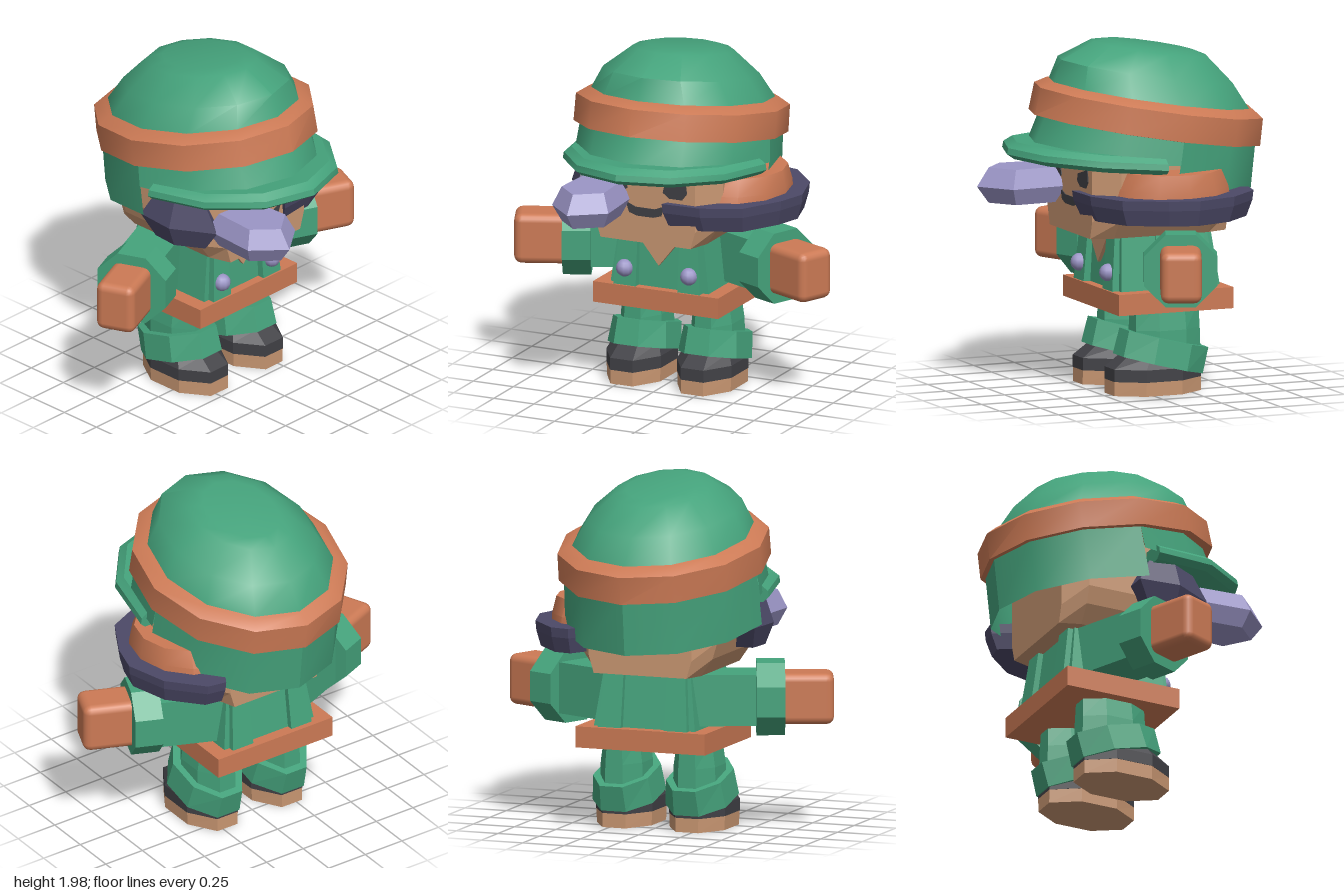
import * as THREE from 'three';
import { toCreasedNormals } from 'three/addons/utils/BufferGeometryUtils.js';
import { RoundedBoxGeometry } from 'three/addons/geometries/RoundedBoxGeometry.js';

const mat = (name, color, side = THREE.FrontSide) => {
  const m = new THREE.MeshStandardMaterial({ color, side });
  m.name = name;
  return m;
};
const V = (x, y, z) => new THREE.Vector3(x, y, z);

// Horizontal ellipse ring, running front -> +x -> back -> -x
function ring(n, rx, rz, y, cx = 0, cz = 0, turn = 0) {
  return Array.from({ length: n }, (_, i) => {
    const t = (i / n) * Math.PI * 2 + turn;
    return V(cx + rx * Math.sin(t), y, cz + rz * Math.cos(t));
  });
}
// Octagon with flat front, given its half sizes
const oct = (hx, hz, y, cx, cz) => {
  const k = 1 / Math.cos(Math.PI / 8);
  return ring(8, hx * k, hz * k, y, cx, cz, Math.PI / 8);
};
const rect = (x0, x1, z0, z1, y) => [V(x0, y, z1), V(x1, y, z1), V(x1, y, z0), V(x0, y, z0)];
const plan = (pts, y, s = 1, cx = 0, cz = 0) =>
  pts.map(([x, z]) => V(cx + (x - cx) * s, y, cz + (z - cz) * s));

// Skin stacked rings from bottom to top; faceted unless a crease angle is given
function loft(rings, { crease = 0, closed = true, caps = true } = {}) {
  const tri = [];
  const n = rings[0].length;
  for (let r = 0; r + 1 < rings.length; r++) {
    const a = rings[r], b = rings[r + 1];
    for (let i = 0; i < (closed ? n : n - 1); i++) {
      const j = (i + 1) % n;
      tri.push(a[i], a[j], b[j], a[i], b[j], b[i]);
    }
  }
  if (caps && closed) {
    const mid = (p) => p.reduce((s, v) => s.add(v), V(0, 0, 0)).divideScalar(n);
    const a = rings[0], b = rings[rings.length - 1], ca = mid(a), cb = mid(b);
    for (let i = 0; i < n; i++) {
      const j = (i + 1) % n;
      tri.push(ca, a[j], a[i], cb, b[i], b[j]);
    }
  }
  const g = new THREE.BufferGeometry().setFromPoints(tri);
  g.computeVertexNormals();
  return crease ? toCreasedNormals(g, crease) : g;
}

export function createModel() {
  const root = new THREE.Group();
  root.name = 'soldierFigure';
  const green = mat('green', 0x45a37c);
  const greenOpen = mat('green cloth', 0x45a37c, THREE.DoubleSide);
  const orange = mat('orange', 0xcc7a55);
  const tan = mat('tan', 0xc99772);
  const steel = mat('pale violet', 0x9b95c6);
  const slate = mat('dark violet', 0x4c4967);
  const black = mat('charcoal', 0x414146);
  const add = (name, geo, m, parent = root) => {
    const mesh = new THREE.Mesh(geo, m);
    mesh.name = name;
    parent.add(mesh);
    return mesh;
  };
  const plate = (pts, depth) => new THREE.ExtrudeGeometry(
    new THREE.Shape(pts.map(([x, y]) => new THREE.Vector2(x, y))), { depth, bevelEnabled: false });

  // Head, with chamfered corners and a narrowing jaw
  const headRing = (y, w, f) => plan([[-f, 0.35], [f, 0.35], [w, 0.22], [w, -0.36],
    [f, -0.48], [-f, -0.48], [-w, -0.36], [-w, 0.22]], y);
  add('head', loft([headRing(0.9, 0.32, 0.28), headRing(1.0, 0.39, 0.31),
    headRing(1.1, 0.42, 0.31), headRing(1.42, 0.42, 0.31)]), tan);

  // Face details
  const eye = [[0.11, 1.21], [0.15, 1.18], [0.23, 1.18], [0.26, 1.22], [0.25, 1.29], [0.19, 1.27], [0.12, 1.25]];
  for (const s of [1, -1]) {
    const pts = eye.map(([x, y]) => [x * s, y]);
    add(s > 0 ? 'leftEye' : 'rightEye', plate(pts, 0.006), black).position.z = 0.349;
  }
  add('moustache', plate([[-0.12, 1.13], [-0.1, 1.07], [-0.05, 1.055], [0.05, 1.055], [0.1, 1.07],
    [0.12, 1.13], [0.06, 1.105], [-0.06, 1.105]], 0.006), black).position.z = 0.349;

  // Hat crown, band and hanging skirt, all tilted backwards
  const hat = new THREE.Group();
  hat.name = 'hat';
  hat.position.set(0, 1.55, -0.1);
  hat.rotation.x = -0.17;
  root.add(hat);
  add('hatCrown', loft([
    ring(12, 0.54, 0.63, 0.0, 0, -0.02), ring(12, 0.505, 0.595, 0.1, 0, -0.02),
    ring(12, 0.42, 0.52, 0.24, 0, 0.03), ring(12, 0.27, 0.345, 0.365, 0, 0.025),
    ring(12, 0.2, 0.26, 0.385, 0, 0.025)], { crease: 0.75 }), green, hat);
  add('hatBand', loft([
    ring(12, 0.54, 0.62, -0.09, 0, -0.02), ring(12, 0.585, 0.68, -0.085, 0, -0.02),
    ring(12, 0.585, 0.67, 0.07, 0, -0.02), ring(12, 0.52, 0.605, 0.11, 0, -0.02)],
    { crease: 0.6 }), orange, hat);
  const arc = (from, rx, rz, y, cz, lift = 0) => Array.from({ length: 7 }, (_, i) => {
    const t = from + (i / 6) * Math.PI;
    return V(rx * Math.sin(t), y - lift * Math.cos(t), cz + rz * Math.cos(t));
  });
  const open = { closed: false, crease: 0.6 };
  add('hatFront', loft([arc(-Math.PI / 2, 0.565, 0.67, -0.22, -0.02, 0.08),
    arc(-Math.PI / 2, 0.555, 0.61, -0.07, -0.02)], open), greenOpen, hat);
  add('hatNeckFlap', loft([arc(Math.PI / 2, 0.565, 0.67, -0.39, -0.02),
    arc(Math.PI / 2, 0.555, 0.65, -0.07, -0.02)], open), greenOpen, hat);

  // Thick rounded visor
  const visor = (s, dy) => arc(-Math.PI / 2, 0.585, 0.735, 0, 0).map((p) =>
    V(p.x * s, 1.325 + dy + 0.075 * p.z, p.z * s));
  add('visor', loft([visor(0.94, -0.045), visor(1, -0.015), visor(0.99, 0.02), visor(0.92, 0.05)],
    { crease: 0.6 }), green);

  // Round pad on the left cheek with a dark rim below it
  add('sidePad', loft([ring(12, 0.3, 0.36, 1.1, 0.355, -0.1), ring(12, 0.3, 0.345, 1.19, 0.355, -0.1),
    ring(12, 0.28, 0.3, 1.285, 0.355, -0.1)], { crease: 0.6 }), orange);
  const rim = [[0.12, 0.39], [0.35, 0.38], [0.57, 0.28], [0.7, 0.05], [0.75, -0.12],
    [0.68, -0.36], [0.51, -0.55], [0.4, -0.57], [0.3, -0.4], [0.2, 0.2]];
  add('sideRim', loft([plan(rim, 1.01, 0.91, 0.42, -0.1), plan(rim, 1.1, 0.985, 0.42, -0.1),
    plan(rim, 1.155)]), slate);

  // Pointed piece in front of the right eye and its dark mount
  const tip = [[-0.27, 0.8], [-0.08, 0.66], [-0.1, 0.33], [-0.42, 0.3], [-0.44, 0.64]];
  add('eyepiece', loft([plan(tip, 1.05, 0.75, -0.26, 0.52), plan(tip, 1.145),
    plan(tip, 1.25, 0.75, -0.26, 0.52)]), steel);
  const mount = [[-0.42, 0.38], [-0.34, 0.3], [-0.36, -0.1], [-0.54, -0.1], [-0.56, 0.14]];
  add('eyepieceMount', loft([plan(mount, 1.02, 0.65, -0.42, 0.12), plan(mount, 1.145),
    plan(mount, 1.29, 0.65, -0.42, 0.12)]), slate);

  // Torso, collar opening and belt
  add('torso', loft([rect(-0.31, 0.31, -0.42, 0.17, 0.55), rect(-0.26, 0.26, -0.37, 0.15, 0.92)]), green);
  add('collarOpening', plate([[-0.16, 0.92], [0, 0.72], [0.16, 0.92]], 0.06), tan).position.z = 0.12;
  add('belt', loft([rect(-0.39, 0.39, -0.48, 0.22, 0.47), rect(-0.39, 0.39, -0.48, 0.22, 0.59)]), orange);

  for (const s of [1, -1]) {
    const side = s > 0 ? 'left' : 'right';
    const span = (a, b) => (s > 0 ? [a, b] : [-b, -a]);

    // Shoulder strap with its button
    add(side + 'Strap', loft([rect(...span(0.13, 0.27), -0.45, 0.21, 0.58),
      rect(...span(0.13, 0.24), -0.4, 0.18, 0.93)]), green);
    const button = add(side + 'Button', new THREE.SphereGeometry(0.05, 10, 8), steel);
    button.position.set(0.2 * s, 0.69, 0.205);

    // Arm angled forwards: sleeve, cuff and mitten hand
    const arm = new THREE.Group();
    arm.name = side + 'Arm';
    arm.position.set(0.3 * s, 0.755, -0.19);
    arm.rotation.y = s > 0 ? -0.4 : Math.PI + 0.4;
    root.add(arm);
    add(side + 'Sleeve', new THREE.BoxGeometry(0.44, 0.29, 0.27), green, arm).position.x = 0.1;
    const cuff = new THREE.CylinderGeometry(0.222, 0.222, 0.16, 8).rotateY(Math.PI / 8).rotateZ(Math.PI / 2);
    add(side + 'Cuff', toCreasedNormals(cuff, 0.1), green, arm).position.x = 0.345;
    add(side + 'Hand', new RoundedBoxGeometry(0.36, 0.29, 0.23, 2, 0.045), orange, arm).position.x = 0.52;

    // Leg, tilted trouser cuff, shoe and sole
    const x = 0.22 * s;
    add(side + 'Leg', loft([oct(0.13, 0.2, 0.2, x, -0.13), oct(0.125, 0.195, 0.36, x, -0.13),
      oct(0.105, 0.19, 0.5, x, -0.13)]), green);
    const hem = add(side + 'TrouserCuff', loft([oct(0.182, 0.25, -0.075, 0, 0),
      oct(0.165, 0.25, 0.075, 0, 0)]), green);
    hem.position.set(x, 0.23, -0.11);
    hem.rotation.x = -0.25;
    add(side + 'Shoe', loft([oct(0.17, 0.265, 0.08, x, -0.06), oct(0.17, 0.265, 0.15, x, -0.06),
      oct(0.14, 0.18, 0.215, x, -0.06)]), black);
    add(side + 'Sole', loft([oct(0.165, 0.265, 0, x, -0.06), oct(0.168, 0.265, 0.08, x, -0.06)]), tan);
  }
  return root;
}
